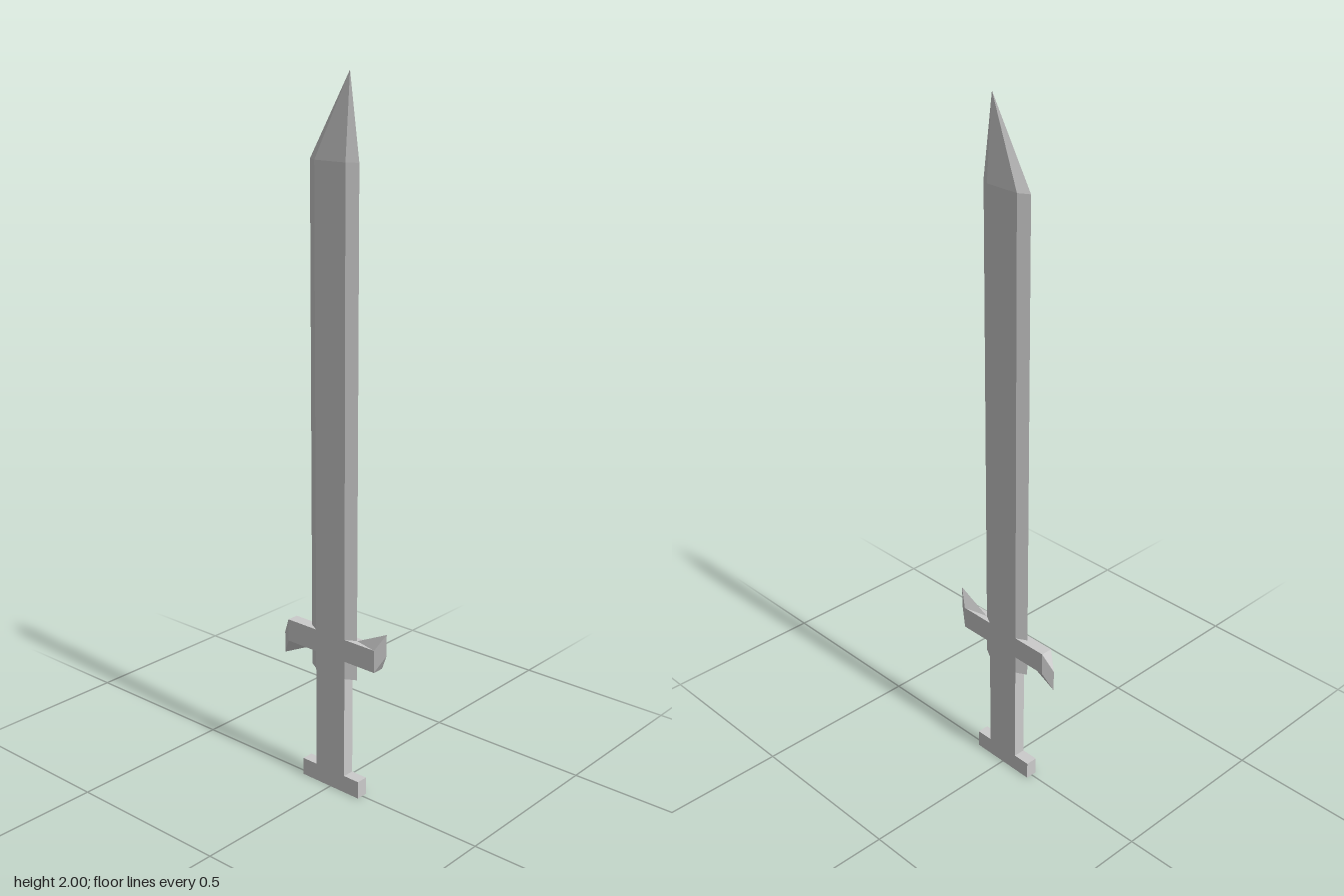
import * as THREE from 'three';

const W = 0.0175; // half thickness
const material = new THREE.MeshStandardMaterial({ color: 0xcccccc, flatShading: true });

// Flat-faced solid from corner points and polygons (each fanned from its first corner)
function facetedGeometry(points, faces) {
  const positions = [];
  for (const face of faces) {
    for (let i = 1; i < face.length - 1; i++) {
      for (const k of [face[0], face[i], face[i + 1]]) positions.push(...points[k]);
    }
  }
  const geometry = new THREE.BufferGeometry();
  geometry.setAttribute('position', new THREE.Float32BufferAttribute(positions, 3));
  geometry.computeVertexNormals();
  return geometry;
}

function addMesh(parent, name, geometry) {
  const mesh = new THREE.Mesh(geometry, material);
  mesh.name = name;
  parent.add(mesh);
  return mesh;
}

// Blade: hexagonal section drawn up to an off-centre point
function bladeGeometry() {
  const section = [[0, 0.084], [W, 0.053], [W, -0.053], [0, -0.084], [-W, -0.053], [-W, 0.053]];
  const ring = (y) => section.map(([x, z]) => [x, y, z]);
  const points = [...ring(0.355), ...ring(1.775), [0, 2, 0.052]];
  const faces = [[5, 4, 3, 2, 1, 0]];
  for (let i = 0; i < 6; i++) {
    const j = (i + 1) % 6;
    faces.push([i, j, j + 6, i + 6], [i + 6, j + 6, 12]);
  }
  return facetedGeometry(points, faces);
}

// Guard arm along +z: a bar whose sharpened end sweeps upward from a ridge
function guardArmGeometry() {
  const h = 0.033;
  const ring = (z) => [[-W, -h, z], [W, -h, z], [W, h, z], [-W, h, z]];
  const points = [...ring(0.053), ...ring(0.16), [0, 0.02, 0.19], [0, 0.083, 0.19], [0, h, 0.085]];
  return facetedGeometry(points, [
    [1, 2, 6, 5], [0, 4, 7, 3],   // sides
    [0, 1, 5, 4], [4, 5, 8],      // underside
    [5, 6, 9, 8], [4, 8, 9, 7],   // sharpened end
    [10, 6, 2, 3, 7],             // top
    [10, 9, 6], [10, 7, 9],       // rising ridge
  ]);
}

// Grip and pommel: one inverted T outline, extruded through the thickness
function hiltGeometry() {
  const half = [[0.105, 0], [0.105, 0.052], [0.053, 0.052], [0.053, 0.355]];
  const mirrored = half.map(([z, y]) => [-z, y]).reverse();
  const shape = new THREE.Shape([...half, ...mirrored].map(([z, y]) => new THREE.Vector2(z, y)));
  return new THREE.ExtrudeGeometry(shape, { depth: 2 * W, bevelEnabled: false })
    .translate(0, 0, -W)
    .rotateY(Math.PI / 2);
}

export function createModel() {
  const sword = new THREE.Group();
  sword.name = 'sword';

  addMesh(sword, 'blade', bladeGeometry());
  addMesh(sword, 'gripAndPommel', hiltGeometry());

  // The two arms are half-turn copies, one sweeping up and one down
  const guard = new THREE.Group();
  guard.name = 'guard';
  guard.position.y = 0.441;
  const arm = guardArmGeometry();
  addMesh(guard, 'frontGuardArm', arm);
  addMesh(guard, 'backGuardArm', arm).rotation.x = Math.PI;
  sword.add(guard);

  // Slight twist about the upright axis
  sword.rotation.y = -0.011;

  const model = new THREE.Group();
  model.add(sword);
  return model;
}
